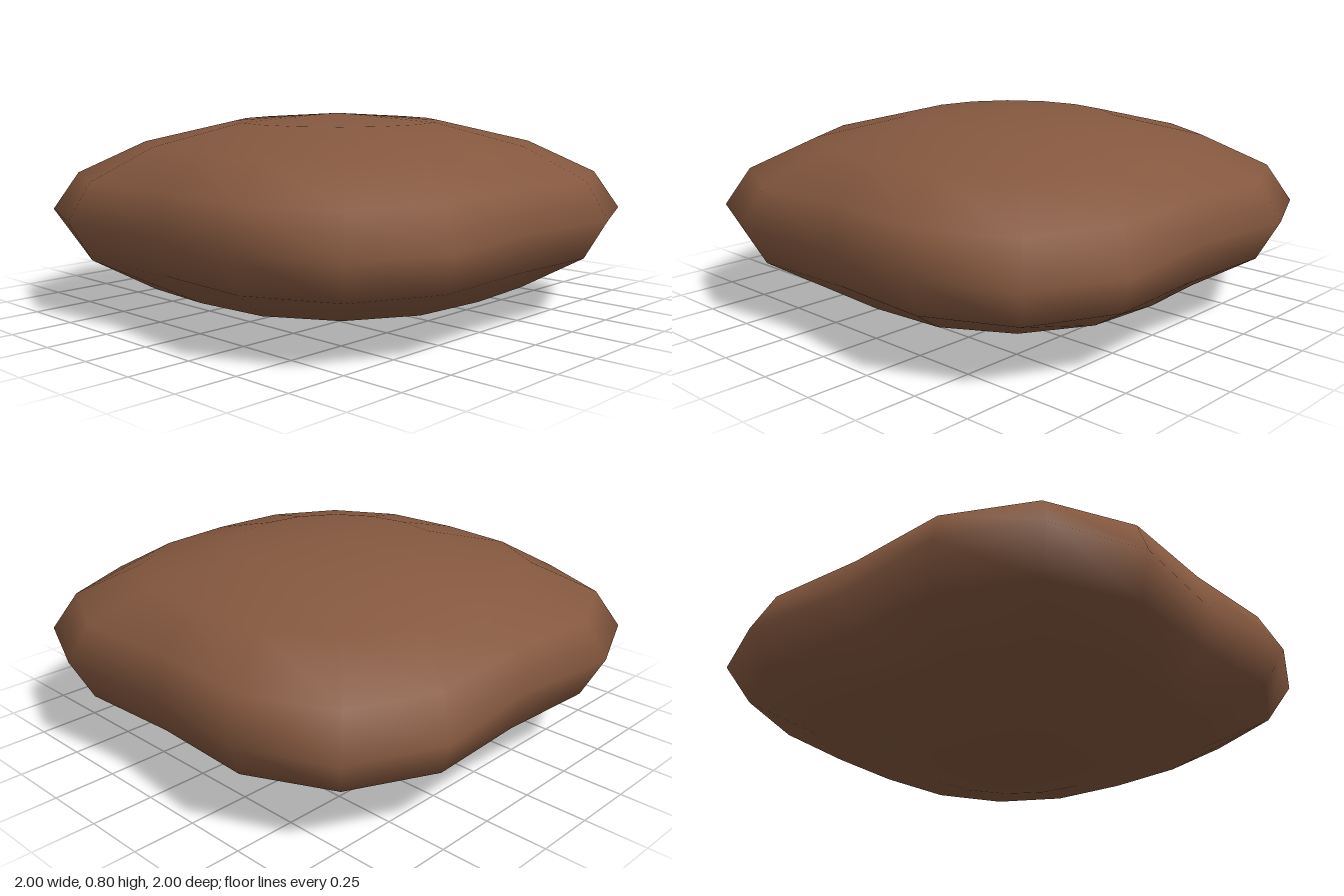
import * as THREE from 'three';
import { mergeVertices } from 'three/addons/utils/BufferGeometryUtils.js';

const HALF_HEIGHT = 0.402;

// Flattened sphere whose outline swells at the four corners and dips mid-side.
function makeLobedBlob() {
  const sphere = new THREE.SphereGeometry(1, 16, 8);
  sphere.deleteAttribute('uv');
  sphere.deleteAttribute('normal');
  const geometry = mergeVertices(sphere, 1e-4);
  const p = geometry.attributes.position;
  for (let i = 0; i < p.count; i++) {
    const x = p.getX(i), y = p.getY(i), z = p.getZ(i);
    const r = Math.hypot(x, z);
    const c = r > 1e-5 ? Math.abs(x) / r : 0;
    const s = r > 1e-5 ? Math.abs(z) / r : 0;
    // The lobes fade out towards the top and bottom.
    const widen = (side) => THREE.MathUtils.lerp(1.105, 0.95 + 0.35 * side, r ** 3);
    p.setXYZ(i, x * widen(s), HALF_HEIGHT * (y + 1), z * widen(c));
  }
  geometry.computeVertexNormals();
  return geometry;
}

export function createModel() {
  const group = new THREE.Group();
  group.name = 'lobedStone';

  const brown = new THREE.MeshStandardMaterial({ color: 0x85583f });
  brown.name = 'earthBrown';

  const body = new THREE.Mesh(makeLobedBlob(), brown);
  body.name = 'body';
  group.add(body);
  return group;
}
